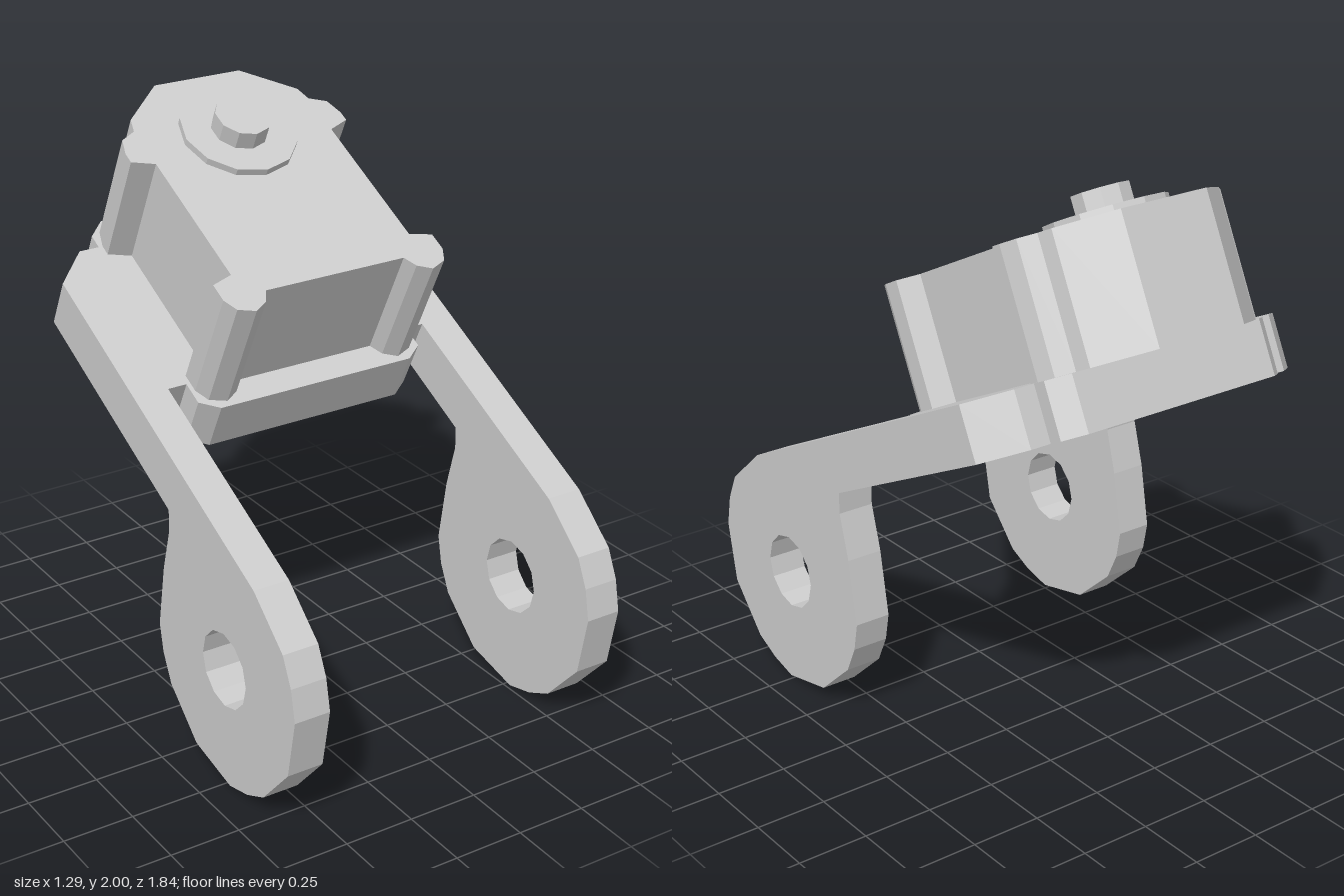
import * as THREE from 'three';

const material = new THREE.MeshStandardMaterial({ color: 0xcccccc, flatShading: true });
const TILT = THREE.MathUtils.degToRad(26.5);
const ELBOW = { y: 0.87, z: 0.15 };   // inner bend of the arms, origin of the tilted head
const PLATE_T = 0.19, MOTOR_TOP = 0.625;
const ARM_IN = 0.515, ARM_OUT = 0.645, ARM_START = 0.33;

const toShape = pts => new THREE.Shape(pts.map(([x, y]) => new THREE.Vector2(x, y)));

// Mirrors a right-hand half outline (front to back) into a closed one
const mirrored = half => toShape([...half, ...half.map(([x, y]) => [-x, y]).reverse()]);

// Many-sided round hole
function hole(x, y, r, sides) {
  const pts = [];
  for (let i = 0; i < sides; i++) {
    const a = -(i / sides) * Math.PI * 2;
    pts.push(new THREE.Vector2(x + r * Math.cos(a), y + r * Math.sin(a)));
  }
  return new THREE.Path(pts);
}

function extruded(name, shape, depth, start = 0) {
  const geometry = new THREE.ExtrudeGeometry(shape, { depth, bevelEnabled: false, steps: 1 });
  geometry.translate(0, 0, start);
  const mesh = new THREE.Mesh(geometry, material);
  mesh.name = name;
  return mesh;
}

// Cylinder along the head's normal, standing from n0 to n1
function disc(name, r, sides, u, n0, n1) {
  const geometry = new THREE.CylinderGeometry(r, r, n1 - n0, sides);
  geometry.rotateX(Math.PI / 2).translate(0, u, (n0 + n1) / 2);
  const mesh = new THREE.Mesh(geometry, material);
  mesh.name = name;
  return mesh;
}

// Point of the tilted head given as (z, y)
const onHead = (u, n) => [
  ELBOW.z - u * Math.cos(TILT) + n * Math.sin(TILT),
  ELBOW.y + u * Math.sin(TILT) + n * Math.cos(TILT),
];

export function createModel() {
  const model = new THREE.Group();
  model.name = 'motorBracket';

  // Side arms: rounded lug with a pivot hole, bent into the plate
  const armShape = toShape([
    onHead(ARM_START, 0), [0.155, 0.867], [0.155, 0.79], [0.11, 0.63], [0.07, 0.40],
    [0.09, 0.297], [0.138, 0.196], [0.302, 0.048], [0.52, 0], [0.63, 0.027],
    [0.73, 0.074], [0.88, 0.24], [0.922, 0.456], [0.90, 0.568], [0.854, 0.668],
    [0.685, 0.815], onHead(ARM_START, PLATE_T),
  ]);
  armShape.holes.push(hole(0.495, 0.432, 0.135, 12));
  for (const [name, x] of [['leftArm', ARM_OUT], ['rightArm', -ARM_IN]]) {
    const arm = extruded(name, armShape, ARM_OUT - ARM_IN);
    arm.rotation.y = -Math.PI / 2;
    arm.position.x = x;
    model.add(arm);
  }

  // Tilted head: local y runs back along the plate, local z is its normal
  const head = new THREE.Group();
  head.name = 'motorHead';
  head.rotation.x = TILT - Math.PI / 2;
  head.position.set(0, ELBOW.y, ELBOW.z);
  model.add(head);

  // Mounting plate with side wings that continue the arms
  const plateShape = mirrored([
    [0.38, 0.20], [0.445, 0.245], [0.445, ARM_START], [ARM_IN, ARM_START], [ARM_OUT, ARM_START],
    [ARM_OUT, 0.87], [0.52, 0.995], [0.445, 0.995], [0.445, 1.05], [0.38, 1.11],
  ]);
  const plateMid = 0.65;
  plateShape.holes.push(hole(0, plateMid, 0.13, 12));
  for (const sx of [-1, 1]) for (const su of [-1, 1])
    plateShape.holes.push(hole(sx * 0.345, plateMid + su * 0.34, 0.026, 8));
  head.add(extruded('mountingPlate', plateShape, PLATE_T));

  // Recessed collar inside the plate's centre hole
  const collar = toShape(hole(0, plateMid, 0.13, 12).getPoints().map(p => [p.x, p.y]));
  collar.holes.push(hole(0, plateMid, 0.05, 10));
  head.add(extruded('recessCollar', collar, PLATE_T - 0.08, 0.08));

  // Motor body with four corner posts and a faceted back
  const motorShape = mirrored([
    [0.27, 0.295], [0.295, 0.25], [0.345, 0.222], [0.405, 0.245], [0.43, 0.295], [0.43, 0.365],
    [0.35, 0.39], [0.35, 0.925], [0.43, 0.955], [0.43, 0.995], [0.41, 1.06], [0.35, 1.09],
    [0.335, 1.145], [0.17, 1.285],
  ]);
  head.add(extruded('motorBody', motorShape, MOTOR_TOP - PLATE_T, PLATE_T));

  // Output boss and shaft
  head.add(disc('outputBoss', 0.207, 12, 0.985, MOTOR_TOP - 0.02, 0.65));
  head.add(disc('outputShaft', 0.1, 10, 0.985, 0.64, 0.717));

  return model;
}
